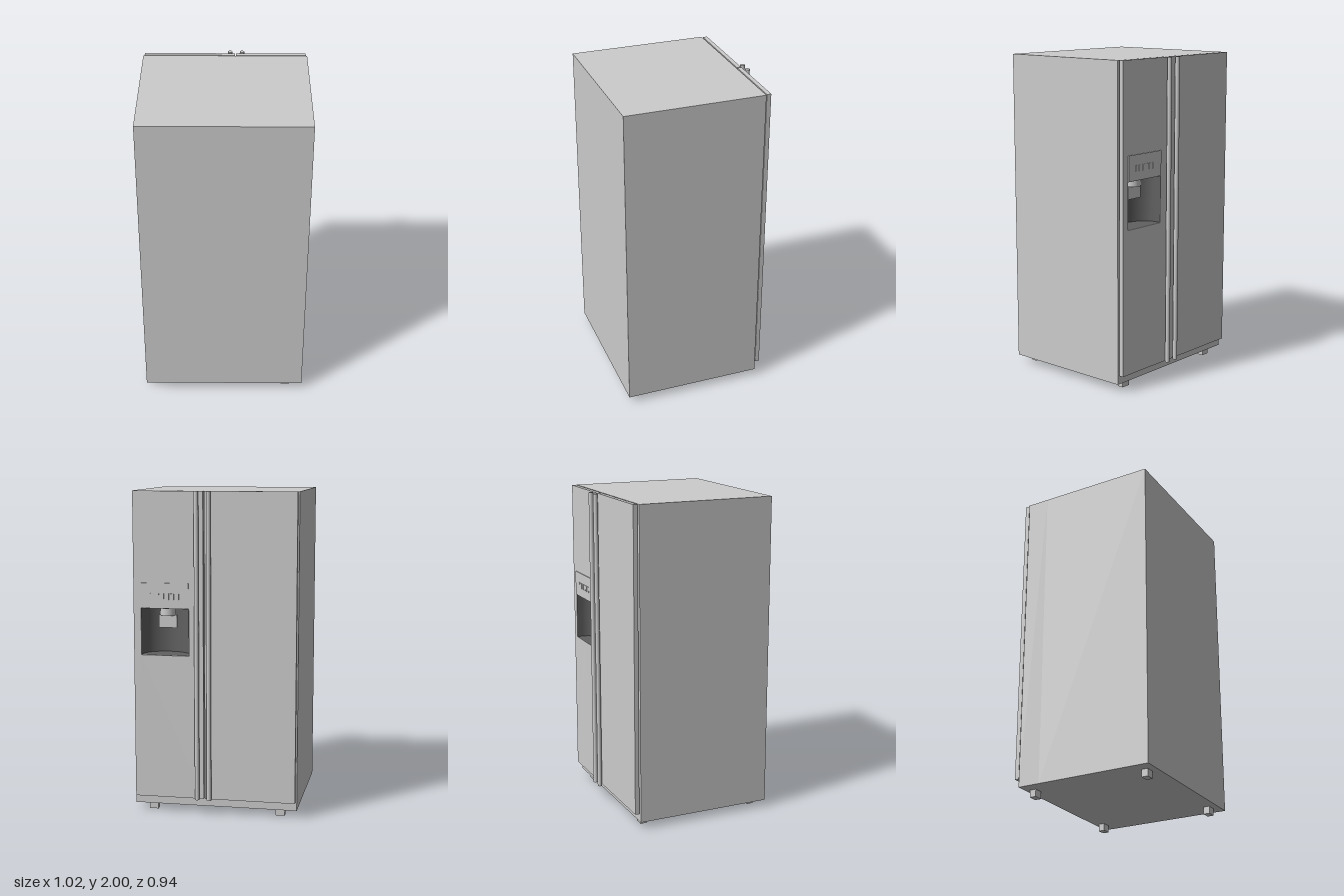
import * as THREE from 'three';

const steel = new THREE.MeshStandardMaterial({ color: 0xcccccc });
steel.name = 'lightGrey';
const dark = new THREE.MeshStandardMaterial({ color: 0x606060, side: THREE.DoubleSide });
dark.name = 'darkGrey';

// Dispenser opening
const X0 = 0.158, X1 = 0.455, Y0 = 1.0, Y1 = 1.288;
const CX = (X0 + X1) / 2, HALF = (X1 - X0) / 2;
const DOOR_FRONT = -0.434, DOOR_BACK = -0.407, BODY_FACE = -0.4;

export function createModel() {
  const root = new THREE.Group();
  root.name = 'refrigerator';

  const add = (name, geometry, material = steel) => {
    const mesh = new THREE.Mesh(geometry, material);
    mesh.name = name;
    root.add(mesh);
    return mesh;
  };
  // Box given by its limits on each axis
  const box = (name, x0, x1, y0, y1, z0, z1) => {
    add(name, new THREE.BoxGeometry(x1 - x0, y1 - y0, z1 - z0))
      .position.set((x0 + x1) / 2, (y0 + y1) / 2, (z0 + z1) / 2);
  };
  const rect = (target, x0, x1, y0, y1) => {
    target.moveTo(x0, y0).lineTo(x1, y0).lineTo(x1, y1).lineTo(x0, y1).closePath();
    return target;
  };
  // Slab with the dispenser opening cut through it
  const cutSlab = (name, x0, x1, y0, y1, z0, z1) => {
    const shape = rect(new THREE.Shape(), x0, x1, y0, y1);
    shape.holes.push(rect(new THREE.Path(), X0 - 0.001, X1 + 0.001, Y0 - 0.001, Y1 + 0.001));
    add(name, new THREE.ExtrudeGeometry(shape, { depth: z1 - z0, bevelEnabled: false }))
      .position.z = z0;
  };

  // Cabinet: solid rear block and a door-side section with the pocket
  box('cabinet', -0.51, 0.51, 0.045, 2, -0.26, 0.467);
  cutSlab('cabinetDoorSide', -0.51, 0.51, 0.045, 2, BODY_FACE, -0.26);

  // Doors
  box('wideDoor', -0.502, 0.06, 0.1, 2, DOOR_FRONT, DOOR_BACK);
  cutSlab('narrowDoor', 0.068, 0.502, 0.1, 2, DOOR_FRONT, DOOR_BACK);

  // Full-height bar handles
  for (const x of [0.03, 0.105]) {
    add('handle', new THREE.CylinderGeometry(0.0143, 0.0143, 1.9, 24)).position.set(x, 1.05, -0.457);
  }

  // Feet
  for (const x of [-0.403, 0.403]) {
    for (const z of [-0.35, 0.402]) box('foot', x - 0.029, x + 0.029, 0, 0.045, z - 0.02, z + 0.02);
  }

  // Dispenser pocket: straight sides, then a curved back
  const outline = [[X1, DOOR_FRONT]];
  for (let i = 0; i <= 24; i++) {
    const a = (i / 24) * Math.PI;
    outline.push([CX + HALF * Math.cos(a), BODY_FACE + 0.115 * Math.sin(a)]);
  }
  outline.push([X0, DOOR_FRONT]);

  const wall = new THREE.PlaneGeometry(1, 1, outline.length - 1, 1);
  const p = wall.attributes.position;
  for (let i = 0; i < p.count; i++) {
    const [x, z] = outline[i % outline.length];
    p.setXYZ(i, x, i < outline.length ? Y1 : Y0, z);
  }
  wall.computeVertexNormals();
  add('dispenserWall', wall, dark);

  const lid = new THREE.ShapeGeometry(new THREE.Shape(outline.map(([x, z]) => new THREE.Vector2(x, z))));
  lid.rotateX(Math.PI / 2);
  add('dispenserFloor', lid, dark).position.y = Y0;
  add('dispenserCeiling', lid, dark).position.y = Y1;

  // Nozzle and paddle
  add('nozzle', new THREE.CylinderGeometry(0.047, 0.047, 0.05, 32)).position.set(CX, Y1 - 0.026, -0.343);
  box('paddle', CX - 0.057, CX + 0.057, 1.16, 1.24, -0.355, -0.335);

  // Control panel and its row of buttons
  box('controlPanel', X0, X1, Y1 + 0.002, 1.445, -0.44, DOOR_FRONT);
  for (let i = 0; i < 6; i++) {
    const x = CX + (i - 2.5) * 0.031;
    box('button', x - 0.012, x + 0.012, 1.345, 1.382, -0.443, -0.44);
  }

  return root;
}
